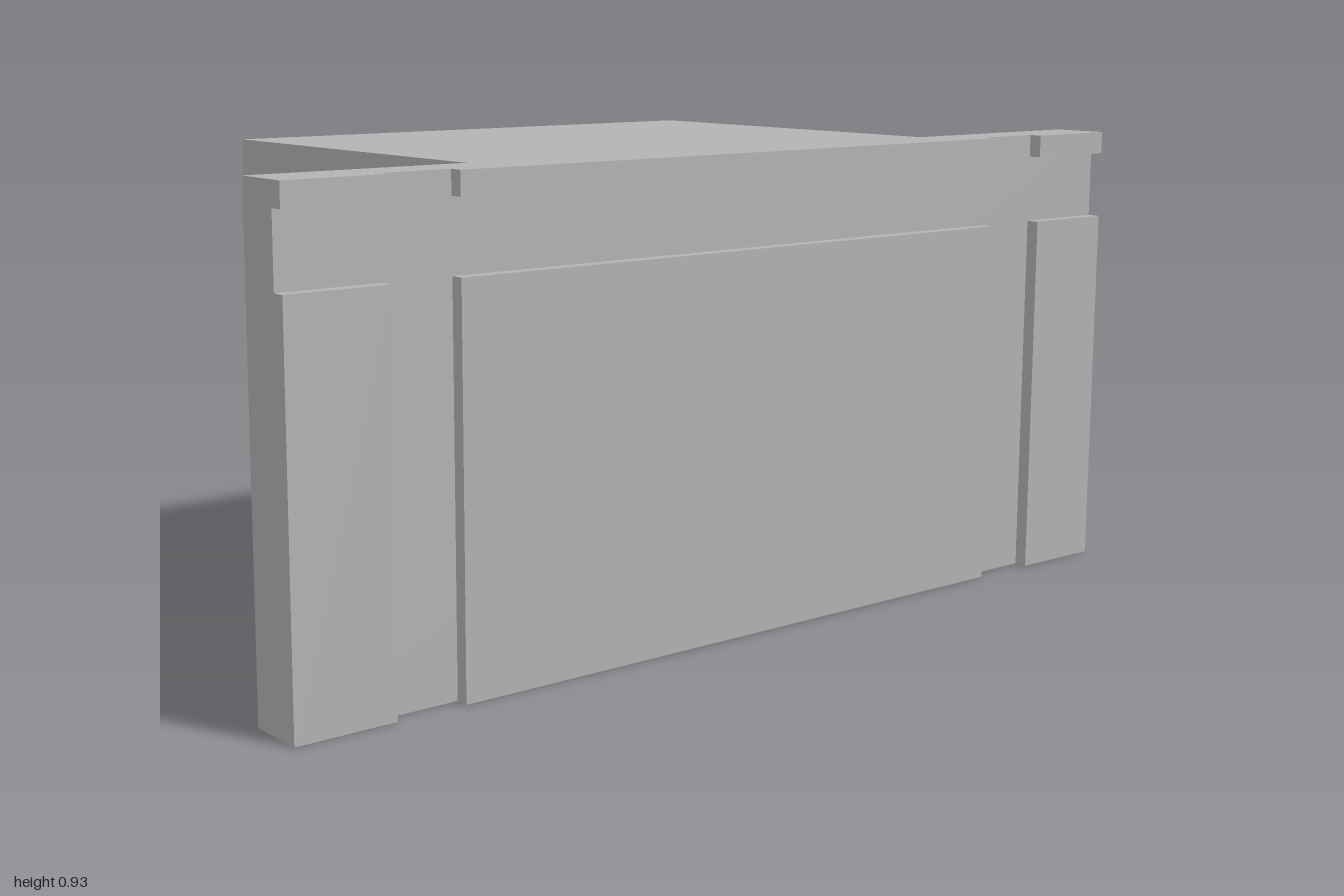
import * as THREE from 'three';

const W = 0.565, NOTCH = 0.41, RIM = 0.545, SLOT = 0.29;

export function createModel() {
  const model = new THREE.Group();
  const grey = new THREE.MeshStandardMaterial({ color: 0xb3b3b3 });
  grey.name = 'plain grey';

  const add = (geometry, name, x = 0, y = 0, z = 0) => {
    const mesh = new THREE.Mesh(geometry, grey);
    mesh.name = name;
    mesh.position.set(x, y, z);
    model.add(mesh);
    return mesh;
  };
  // Box given by its limits
  const box = (name, x0, x1, y0, y1, z0, z1) =>
    add(new THREE.BoxGeometry(x1 - x0, y1 - y0, z1 - z0), name, (x0 + x1) / 2, (y0 + y1) / 2, (z0 + z1) / 2);
  // Side profile of [z, y] points swept from x0 to x1
  const sweep = (pts, x0, x1) => {
    const shape = new THREE.Shape(pts.map(([z, y]) => new THREE.Vector2(-z, y)));
    const g = new THREE.ExtrudeGeometry(shape, { depth: x1 - x0, bevelEnabled: false });
    return g.rotateY(Math.PI / 2).translate(x0, 0, 0);
  };

  // Front panel: backing slab with raised plates leaving grooves between them
  box('panelSlab', -1, 1, 0, 0.925, 0.34, 0.433);
  for (const [x0, x1] of [[-1, -0.8], [-0.66, 0.66], [0.8, 1]]) {
    box('lowerPanelPlate', x0, x1, 0, 0.745, 0.433, 0.46);
    box('upperPanelPlate', x0, x1, 0.88, 0.925, 0.433, 0.46);
  }

  // Curved underside behind the bottom lip
  const curve = [[-0.015, 0.18], [-0.04, 0.183], [-0.065, 0.188], [-0.09, 0.198], [-0.11, 0.21]];
  const inset = curve.map(([z, y]) => [z, y + 0.013]);
  const front = [[0.34, 0.925], [0.34, 0.11]];
  const lip = [[-0.015, 0.11]];
  const slottedLip = [[-0.015, 0.11], [-0.015, 0.13], [-0.005, 0.13], [-0.005, 0.192]];
  const back = [[-0.46, 0.465], [-0.46, 0.925]];

  // Middle of the body, with a shallow slot in the lip
  add(sweep([...front, ...slottedLip, ...inset.slice(1), ...back], -SLOT, SLOT), 'bodyCentre');

  for (const s of [-1, 1]) {
    const span = (a, b) => (s > 0 ? [a, b] : [-b, -a]);
    add(sweep([...front, ...lip, ...inset, ...back], ...span(SLOT, NOTCH)), 'bodyInnerSide');

    // Outer part, cut back at the rear corner by a twisted slope
    const outer = sweep([...front, ...lip, ...inset, [-0.345, 0.386], [-0.46, 0.68], [-0.46, 0.925]],
      ...span(NOTCH, W));
    const p = outer.attributes.position;
    for (let i = 0; i < p.count; i++) {
      if (Math.abs(p.getX(i)) < W - 0.001) continue;
      if (Math.abs(p.getY(i) - 0.68) < 0.001) p.setY(i, 0.73);
      if (Math.abs(p.getY(i) - 0.386) < 0.001) p.setXYZ(i, p.getX(i), 0.375, -0.329);
    }
    outer.computeVertexNormals();
    add(outer, 'bodyOuterSide');

    // Thin rim along the sloping underside
    add(sweep([...curve, [-0.32, 0.355], [-0.329, 0.378], [-0.3, 0.378], [-0.11, 0.25], [-0.015, 0.22]],
      ...span(RIM, W)), 'sideRim');

    // Locating pin on the back of the panel
    add(new THREE.CylinderGeometry(0.066, 0.066, 0.135, 40), 'pin', s * 0.785, 0.623, 0.2725).rotation.x = Math.PI / 2;
  }
  return model;
}
